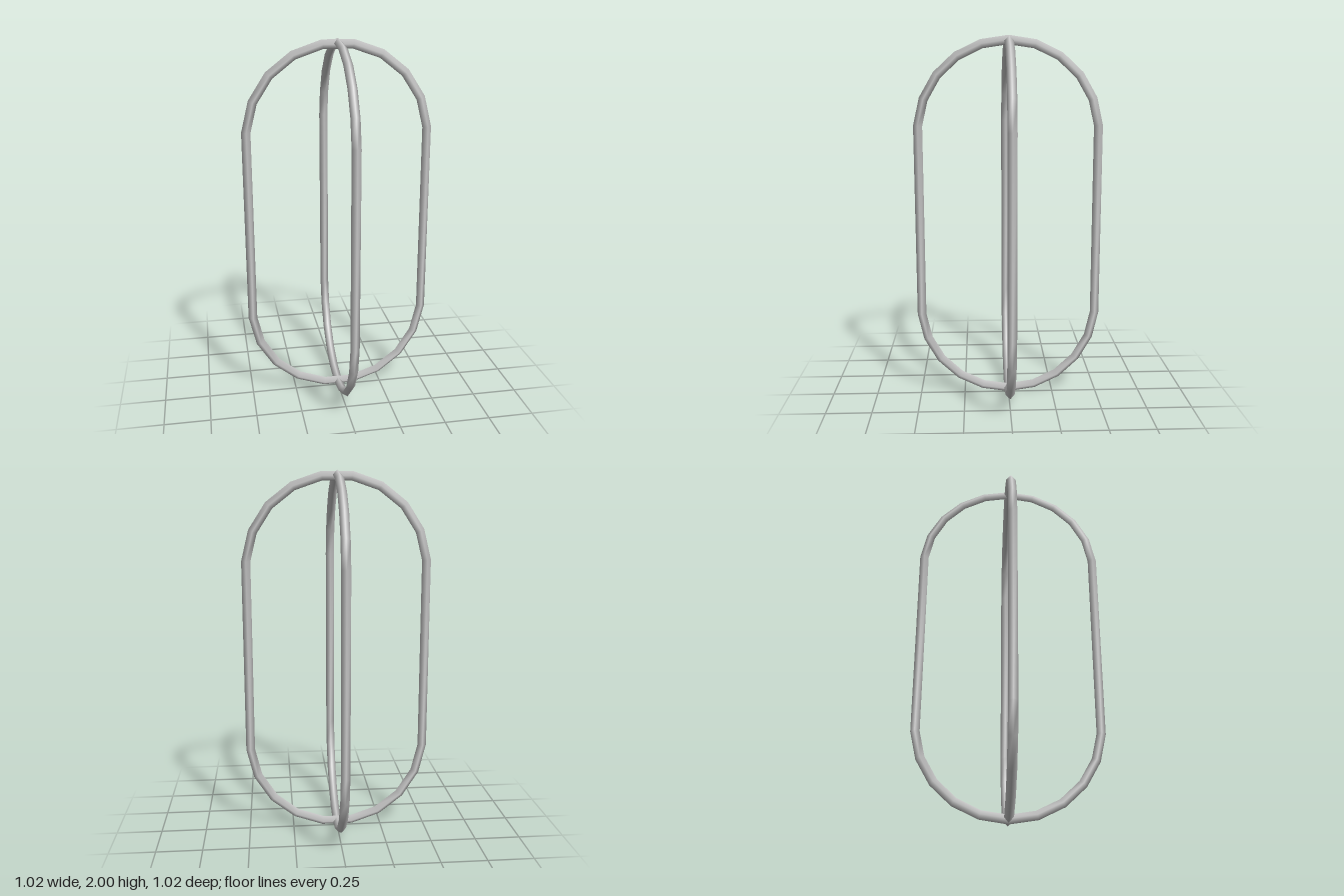
import * as THREE from 'three';

const R = 0.4878; // radius of the rounded ends, also half the straight length
const r = 0.0244; // radius of the rod
const SIDES = 4; // the rod has a diamond section
const START = 0.077; // angle at which the bend begins

// Closed stadium-shaped rod in the xy plane, each end bent in `steps` pieces.
function loopGeometry(steps) {
  const rings = [];
  for (const end of [0, 1]) {
    for (let i = 0; i <= steps; i++) {
      const a = end * Math.PI + START + (Math.PI - 2 * START) * i / steps;
      rings.push({ a, y: 1 + (end ? -R : R) });
    }
  }
  const positions = [], index = [];
  rings.forEach(({ a, y }, i) => {
    const next = (i + 1) % rings.length;
    for (let j = 0; j < SIDES; j++) {
      const phi = j / SIDES * Math.PI * 2;
      const d = R + r * Math.cos(phi);
      positions.push(Math.cos(a) * d, y + Math.sin(a) * d, r * Math.sin(phi));
      const k = (j + 1) % SIDES;
      const p = i * SIDES + j, q = next * SIDES + j;
      const s = i * SIDES + k, t = next * SIDES + k;
      index.push(p, q, s, q, t, s);
    }
  });
  const geometry = new THREE.BufferGeometry();
  geometry.setAttribute('position', new THREE.Float32BufferAttribute(positions, 3));
  geometry.setIndex(index);
  geometry.computeVertexNormals();
  return geometry;
}

export function createModel() {
  const group = new THREE.Group();
  group.name = 'capsuleFrame';
  const material = new THREE.MeshStandardMaterial({ color: 0xcccccc });

  // Loop facing the front
  const frontLoop = new THREE.Mesh(loopGeometry(9), material);
  frontLoop.name = 'frontLoop';

  // Loop facing the sides, crossing the first at top and bottom
  const sideLoop = new THREE.Mesh(loopGeometry(10), material);
  sideLoop.name = 'sideLoop';
  sideLoop.rotation.y = Math.PI / 2;

  group.add(frontLoop, sideLoop);
  return group;
}
